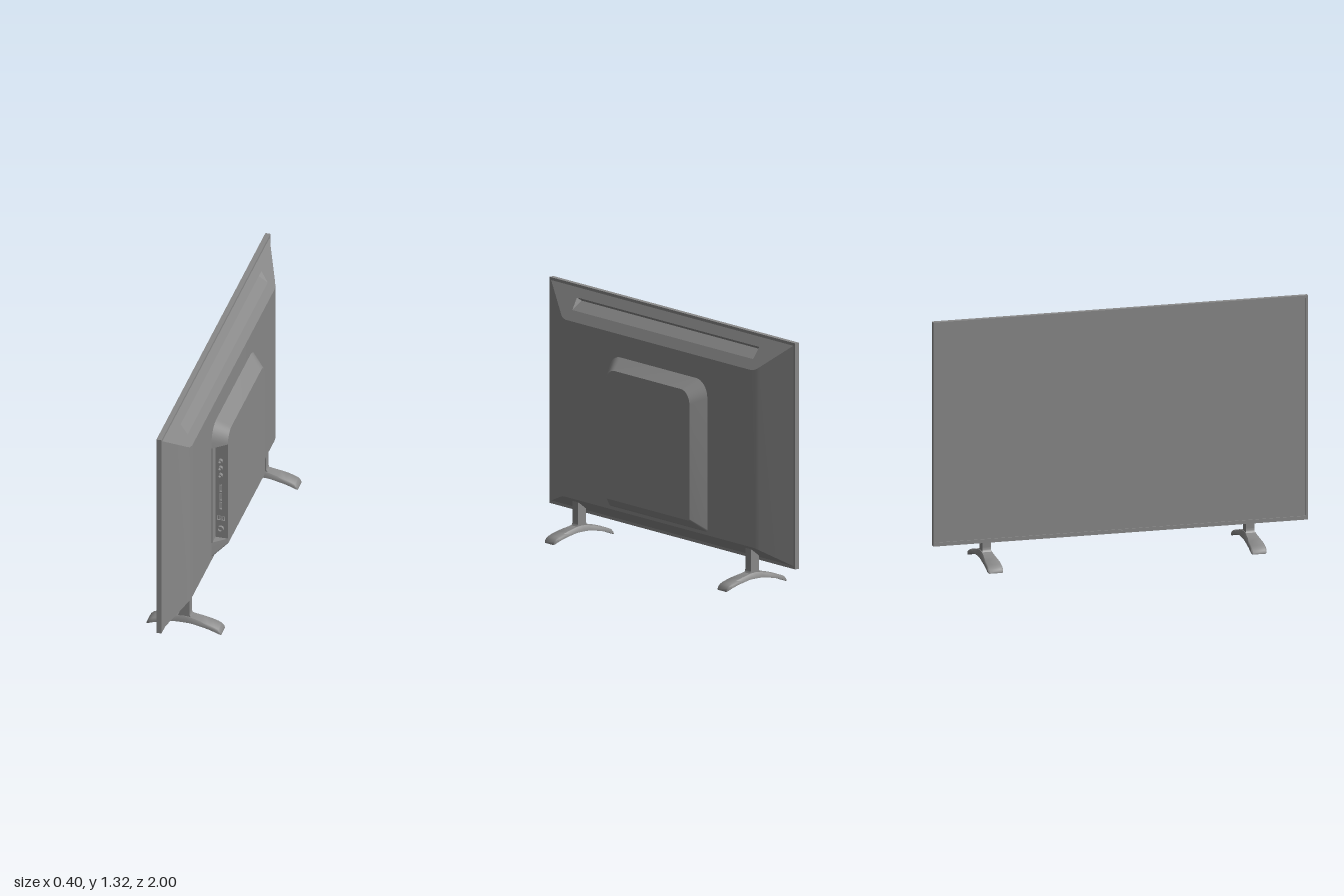
import * as THREE from 'three';
import { toCreasedNormals } from 'three/addons/utils/BufferGeometryUtils.js';

const darkGrey = new THREE.MeshStandardMaterial({ color: 0x898989 });

// Adds a flat convex polygon (counter-clockwise corners) to a triangle list
function poly(out, ...p) {
  for (let i = 1; i < p.length - 1; i++) out.push(...p[0], ...p[i], ...p[i + 1]);
}

// Walls between successive rings; skip(span, edge) leaves an opening
function loft(out, rings, skip = () => false) {
  for (let s = 0; s < rings.length - 1; s++) {
    const a = rings[s], b = rings[s + 1];
    for (let i = 0; i < a.length; i++) {
      const j = (i + 1) % a.length;
      if (!skip(s, i)) poly(out, a[i], a[j], b[j], b[i]);
    }
  }
}

function add(group, name, geometry, x = 0, y = 0, z = 0) {
  const m = new THREE.Mesh(geometry, darkGrey);
  m.name = name;
  m.position.set(x, y, z);
  group.add(m);
  return m;
}

function addFaces(group, name, out, crease = 0.4) {
  const g = new THREE.BufferGeometry();
  g.setAttribute('position', new THREE.Float32BufferAttribute(out, 3));
  return add(group, name, toCreasedNormals(g, crease));
}

const box = (x, y, z) => new THREE.BoxGeometry(x, y, z);

// Screen with a thin bezel, facing -x
function buildPanel(group) {
  const y0 = 0.13, y1 = 1.32, rim = 0.012, chin = 0.02;
  const cy = (y0 + y1) / 2;
  for (const s of [-1, 1]) add(group, 'sideBezel', box(0.027, y1 - y0, rim), -0.0565, cy, s * (1 - rim / 2));
  add(group, 'topBezel', box(0.027, rim, 2 - 2 * rim), -0.0565, y1 - rim / 2, 0);
  add(group, 'bottomBezel', box(0.028, chin, 2 - 2 * rim), -0.057, y0 + chin / 2, 0);
  add(group, 'screen', box(0.023, y1 - y0 - rim - chin, 2 - 2 * rim), -0.0545, (y0 + chin + y1 - rim) / 2, 0);
  add(group, 'indicator', box(0.004, 0.01, 0.02), -0.072, y0 + 0.01, 0);
}

// Tapered back cover with a long grip groove in its top slope
function buildBackCover(group) {
  const top = x => 1.305 - (x + 0.043) / 0.093 * 0.155;
  const bottom = x => 0.145 + (x + 0.043) / 0.093 * 0.073;
  const rings = [[-0.043, 0.985], [0.037, 0.807], [0.046, 0.785], [0.05, 0.755]].map(([x, z]) => [
    [x, top(x), -z], [x, top(x), z], [x, bottom(x), z], [x, bottom(x), -z],
  ]);
  const out = [];
  loft(out, rings, (s, i) => s === 0 && i === 0);
  poly(out, ...rings[3]);
  // Top slope around the groove
  const outer = [rings[0][0], rings[0][1], rings[1][1], rings[1][0]];
  const rim = [[-0.016, 1.26, -0.742], [-0.016, 1.26, 0.742], [0.02, 1.2, 0.735], [0.02, 1.2, -0.735]];
  for (let i = 0; i < 4; i++) {
    const j = (i + 1) % 4;
    poly(out, outer[i], outer[j], rim[j], rim[i]);
  }
  addFaces(group, 'backCover', out);
  // Groove walls
  const groove = [];
  const e0 = [-0.03, 1.245, -0.72], e1 = [-0.03, 1.245, 0.72];
  poly(groove, rim[0], rim[1], e1, e0);
  poly(groove, e0, e1, rim[2], rim[3]);
  poly(groove, rim[1], rim[2], e1);
  poly(groove, rim[0], e0, rim[3]);
  addFaces(group, 'gripGroove', groove);
}

// Rounded rectangle in the yz plane
function roundedRing(x, y0, y1, hz, rTop, rBottom, n = 8) {
  const ring = [];
  for (let k = 0; k < 4; k++) {
    const r = k < 2 ? rTop : rBottom;
    const cy = k < 2 ? y1 - r : y0 + r;
    const cz = (k === 1 || k === 2 ? 1 : -1) * (hz - r);
    for (let i = 0; i <= n; i++) {
      const a = (k - 1 + i / n) * Math.PI / 2;
      ring.push([x, cy + r * Math.cos(a), cz + r * Math.sin(a)]);
    }
  }
  return ring;
}

// Outline of a rectangle in the xy plane
function rect(target, x, y, w, h) {
  return target.setFromPoints([[-1, -1], [1, -1], [1, 1], [-1, 1], [-1, -1]]
    .map(([i, j]) => new THREE.Vector2(x + i * w / 2, y + j * h / 2)));
}

// Electronics housing with a port recess cut into its +z slope
function buildHousing(group) {
  const xa = 0.05, xb = 0.12, za = 0.4, zb = 0.34, lo = 0.325, hi = 0.905;
  const xm = (xa + xb) / 2, ym = (lo + hi) / 2;
  const base = roundedRing(xa, 0.235, 1.03, za, 0.09, 0.012);
  const face = roundedRing(xb, 0.293, 0.975, zb, 0.07, 0.01);
  const out = [];
  loft(out, [base, face], (s, i) => i === 17);
  poly(out, ...face);
  poly(out, base[17], [xa, hi, za], [xb, hi, zb], face[17]);
  poly(out, [xa, lo, za], base[18], face[18], [xb, lo, zb]);
  poly(out, [xa, lo, zb], [xa, lo, za], [xb, lo, zb]);
  poly(out, [xa, hi, zb], [xb, hi, zb], [xa, hi, za]);
  addFaces(group, 'housing', out);
  add(group, 'recessFloor', box(0.006, hi - lo, za - zb), xa + 0.001, ym, (za + zb) / 2);

  // Panel with cut-out slots, closed behind
  const ports = new THREE.Group();
  ports.name = 'ports';
  group.add(ports);
  const depth = 0.02;
  const panel = rect(new THREE.Shape(), xm, ym, xb - xa - 0.001, hi - lo);
  const slots = [0.628, 0.575, 0.522].map(y => [0.082, y, 0.014, 0.046]);
  const squares = [0.071, 0.095].map(x => [x, 0.445, 0.019, 0.028]);
  for (const s of [...slots, ...squares]) {
    panel.holes.push(rect(new THREE.Path(), ...s));
    add(ports, 'portTongue', box(s[2] * 0.35, s[3] * 0.7, depth), s[0], s[1], zb - depth / 2 - 0.002);
  }
  add(ports, 'portPanel', new THREE.ExtrudeGeometry(panel, { depth, bevelEnabled: false }), 0, 0, zb - depth);
  add(ports, 'portBacking', box(xb - xa - 0.002, hi - lo, 0.004), xm, ym, zb - depth - 0.002);

  // Round connectors
  const jack = (name, y, r, length) => {
    const tube = new THREE.LatheGeometry([
      [r, 0], [r, length], [r * 0.6, length], [r * 0.6, 0.002], [0, 0.002],
    ].map(p => new THREE.Vector2(...p)), 20);
    add(ports, name, toCreasedNormals(tube, 0.5), 0.082, y, zb).rotation.x = Math.PI / 2;
  };
  for (const y of [0.8, 0.757, 0.712]) jack('audioJack', y, 0.012, 0.018);
  jack('aerialSocket', 0.382, 0.018, 0.014);
}

// Arched foot with shoulders that deepen towards an upright post
function buildStand(group, z) {
  const stand = new THREE.Group();
  stand.name = 'stand';
  stand.position.z = z;
  group.add(stand);
  // x, underside, top, width scale, shoulder depth
  const half = [
    [0.2, 0, 0.005, 0.85, 0.3], [0.194, 0.003, 0.018, 0.95, 0.3], [0.183, 0.008, 0.03, 1, 0.3],
    [0.165, 0.015, 0.038, 1, 0.3], [0.13, 0.026, 0.049, 1, 0.35], [0.09, 0.035, 0.059, 1, 0.6],
    [0.05, 0.043, 0.067, 1, 0.88], [0.034, 0.0445, 0.071, 1, 0.92],
  ];
  const spans = [...half.map(([x, ...r]) => [-x, ...r]), [0, 0.045, 0.074, 1, 0.95], ...half.slice().reverse()];
  const rings = spans.map(([x, b, t, w, c]) => {
    const s = t - (t - b) * c, o = 0.0415 * w, i = (0.038 - 0.012 * c) * w;
    return [[x, t, -i], [x, t, i], [x, s, o], [x, b, o], [x, b, -o], [x, s, -o]];
  });
  const out = [];
  loft(out, rings);
  poly(out, ...rings[rings.length - 1]);
  poly(out, ...rings[0].slice().reverse());
  addFaces(stand, 'foot', out, 0.9);

  // Post flares where it meets the foot
  const s = new THREE.Shape();
  s.moveTo(-0.045, 0.064);
  s.lineTo(0.045, 0.064);
  s.quadraticCurveTo(0.026, 0.072, 0.026, 0.095);
  s.lineTo(0.026, 0.198);
  s.lineTo(-0.026, 0.16);
  s.lineTo(-0.026, 0.095);
  s.quadraticCurveTo(-0.026, 0.072, -0.045, 0.064);
  const g = new THREE.ExtrudeGeometry(s, { depth: 0.046, bevelEnabled: false, curveSegments: 8 });
  add(stand, 'post', toCreasedNormals(g, 0.5), 0, 0, -0.023);
}

export function createModel() {
  const model = new THREE.Group();
  model.name = 'television';
  buildPanel(model);
  buildBackCover(model);
  buildHousing(model);
  for (const s of [-1, 1]) buildStand(model, s * 0.703);
  return model;
}
